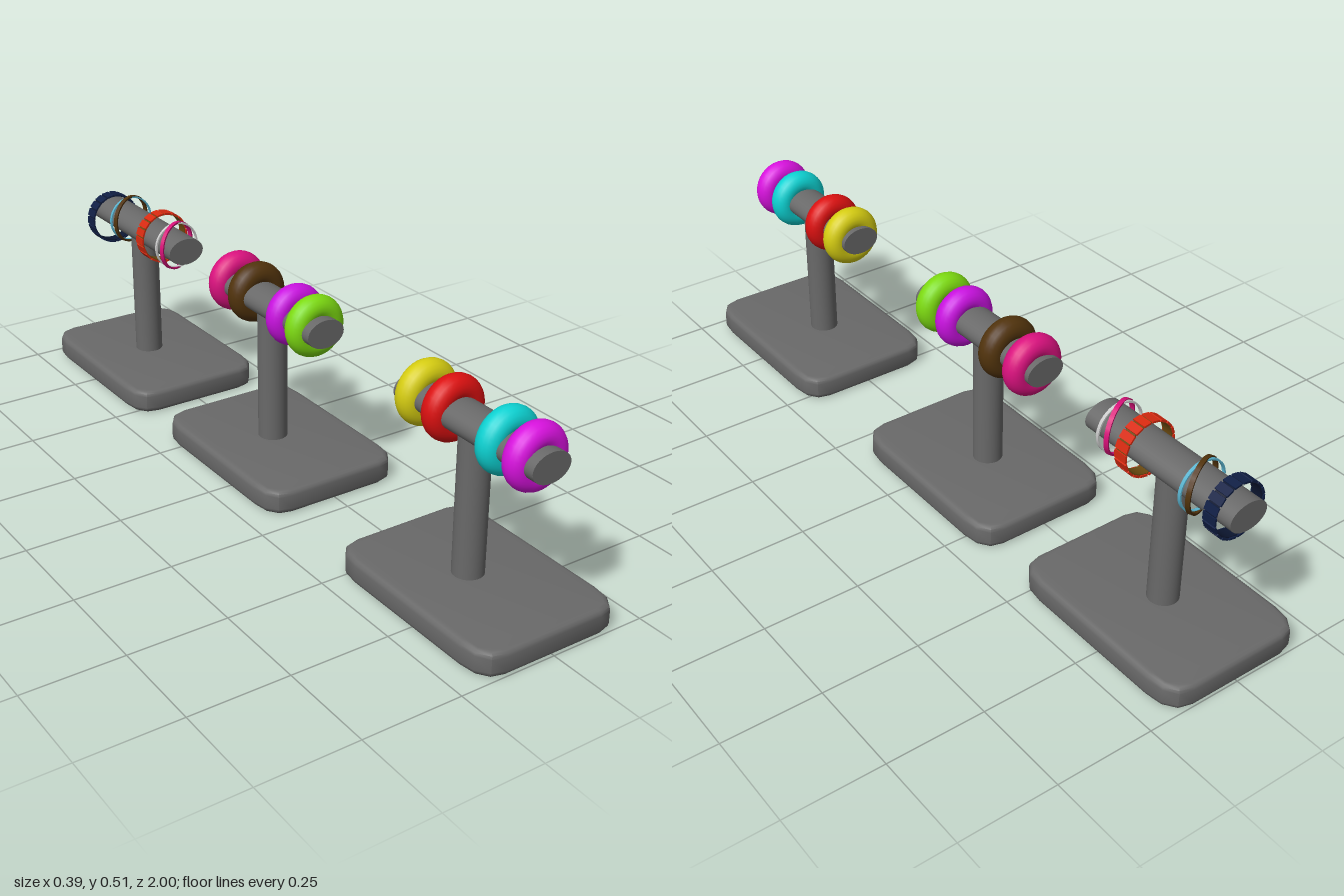
import * as THREE from 'three';
import { toCreasedNormals } from 'three/addons/utils/BufferGeometryUtils.js';

const mat = (color) => new THREE.MeshStandardMaterial({ color });
const grey = mat(0x696969);
const BAR_Y = 0.432;

function add(parent, name, geometry, material, x = 0, y = 0, z = 0) {
  const mesh = new THREE.Mesh(geometry, material);
  mesh.name = name;
  mesh.position.set(x, y, z);
  parent.add(mesh);
  return mesh;
}

// Flat slab with clipped, rounded corners and bevelled edges
function baseGeometry() {
  const b = 0.014, w = 0.193 - b, d = 0.268 - b, cx = 0.05, cz = 0.07;
  const s = new THREE.Shape();
  s.moveTo(-w + cx, -d);
  s.lineTo(w - cx, -d);
  s.quadraticCurveTo(w, -d, w, -d + cz);
  s.lineTo(w, d - cz);
  s.quadraticCurveTo(w, d, w - cx, d);
  s.lineTo(-w + cx, d);
  s.quadraticCurveTo(-w, d, -w, d - cz);
  s.lineTo(-w, -d + cz);
  s.quadraticCurveTo(-w, -d, -w + cx, -d);
  const g = new THREE.ExtrudeGeometry(s, {
    depth: 0.063 - 2 * b, bevelEnabled: true, bevelSize: b,
    bevelThickness: b, bevelSegments: 3, curveSegments: 3,
  });
  g.rotateX(-Math.PI / 2).translate(0, b, 0);
  return toCreasedNormals(g, 0.7);
}

// Base, column and oval display bar
function createStand(z) {
  const stand = new THREE.Group();
  stand.name = 'stand';
  stand.position.z = z;
  add(stand, 'base', baseGeometry(), grey);
  add(stand, 'column', new THREE.CylinderGeometry(0.038, 0.038, 0.375, 32), grey, -0.007, 0.2375, -0.013);
  const bar = new THREE.CylinderGeometry(0.052, 0.052, 0.46, 32).rotateX(Math.PI / 2).scale(1, 0.7, 1);
  add(stand, 'bar', bar, grey, -0.006, BAR_Y, -0.007);
  return stand;
}

// Thin band with a rectangular section, its axis along z
function bandGeometry(inner, outer, width) {
  const h = width / 2;
  const profile = [[inner, -h], [outer, -h], [outer, h], [inner, h], [inner, -h]]
    .map(([r, y]) => new THREE.Vector2(r, y));
  return toCreasedNormals(new THREE.LatheGeometry(profile, 40).rotateX(Math.PI / 2), 0.6);
}

// Band bangle covered with raised blocks
function studdedBangle(name, color, bandColor, x, y, z) {
  const g = new THREE.Group();
  g.name = name;
  g.position.set(x, y, z);
  add(g, 'band', bandGeometry(0.065, 0.069, 0.03), mat(bandColor));
  const block = new THREE.BoxGeometry(0.005, 0.02, 0.037);
  const material = mat(color);
  const count = 18;
  for (let i = 0; i < count; i++) {
    const a = (i / count) * Math.PI * 2;
    const m = add(g, 'block', block, material, 0.0688 * Math.cos(a), 0.0688 * Math.sin(a), 0);
    m.rotation.z = a;
  }
  return g;
}

// One upright thin bangle crossed by a turned one
function crossedBangles(uprightColor, turnedColor, z, turn) {
  const g = new THREE.Group();
  g.name = 'crossedBangles';
  g.position.set(-0.002, BAR_Y, z);
  add(g, 'uprightBangle', bandGeometry(0.061, 0.065, 0.008), mat(uprightColor));
  add(g, 'turnedBangle', bandGeometry(0.062, 0.067, 0.011), mat(turnedColor)).rotation.y = turn;
  return g;
}

export function createModel() {
  const model = new THREE.Group();
  model.name = 'bangleDisplay';
  for (const z of [0.732, -0.065, -0.732]) model.add(createStand(z));

  // Thick round bangles on the front and middle stands
  const donut = new THREE.TorusGeometry(0.048, 0.032, 20, 32);
  const bangles = [
    [0.898, 0xd811de], [0.813, 0x0cd2d2], [0.633, 0xdb1010], [0.54, 0xd6cd11],
    [0.1, 0x7ddb11], [0.016, 0xc911e0], [-0.162, 0x51330c], [-0.256, 0xdb117f],
  ];
  for (const [z, color] of bangles) add(model, 'thickBangle', donut, mat(color), -0.001, 0.433, z);

  // Slim bangles on the rear stand
  model.add(crossedBangles(0xd8d8d8, 0xd81179, -0.57, 0.4));
  model.add(studdedBangle('redBangle', 0xd82a10, 0x6b4a10, 0, BAR_Y, -0.656));
  model.add(crossedBangles(0x5ab4d0, 0x51330c, -0.834, 0.36));
  model.add(studdedBangle('navyBangle', 0x101f45, 0x0c1630, -0.02, 0.417, -0.913));
  return model;
}
